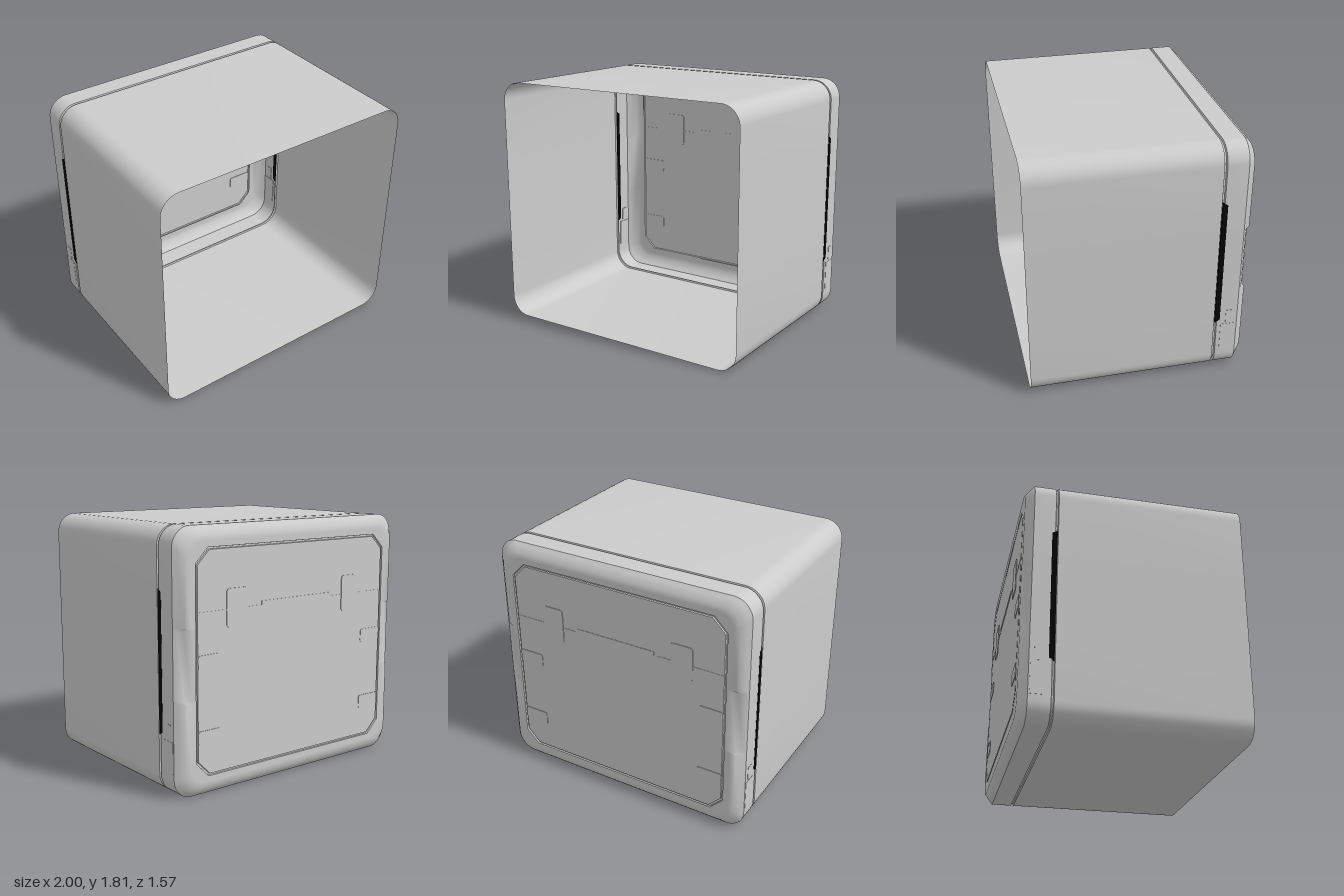
import * as THREE from 'three';
import { toCreasedNormals } from 'three/addons/utils/BufferGeometryUtils.js';

const grey = new THREE.MeshStandardMaterial({ color: 0xcccccc, side: THREE.DoubleSide });
const black = new THREE.MeshStandardMaterial({ color: 0x050505, side: THREE.DoubleSide });

const HALF_W = 1, HALF_H = 0.905, MID_Y = 0.905, BACK = -0.78;
const SIDE_Y = [0.66, 0.68, 1.14, 1.16]; // where the side finger recesses start and stop

// One cross-section: a rounded rectangle, or one with cut corners, at depth z.
function ring({ inset, z, cut = 0, dent = 0 }) {
  const w = HALF_W - inset, h = HALF_H - inset;
  const r = cut || 0.14 - inset * 0.25;
  const points = [];
  const side = (x, ys) => ys.forEach((y, i) =>
    points.push([x, y, z + (i === 1 || i === 2 ? dent : 0)]));
  const corner = (sx, sy, start) => {
    for (let i = 0; i <= 10; i++) {
      const t = i / 10, a = start + t * Math.PI / 2;
      let c = Math.cos(a), s = Math.sin(a);
      if (cut) {
        c = Math.cos(start) * (1 - t) + Math.cos(start + Math.PI / 2) * t;
        s = Math.sin(start) * (1 - t) + Math.sin(start + Math.PI / 2) * t;
      }
      points.push([sx * (w - r) + r * c, MID_Y + sy * (h - r) + r * s, z]);
    }
  };
  side(w, SIDE_Y);
  corner(1, 1, 0);
  corner(-1, 1, Math.PI / 2);
  side(-w, [...SIDE_Y].reverse());
  corner(-1, -1, Math.PI);
  corner(1, -1, Math.PI * 1.5);
  return points;
}

// Skin joining successive cross-sections
function loft(sections) {
  const rings = sections.map(ring), n = rings[0].length, index = [];
  for (let i = 0; i < rings.length - 1; i++) {
    for (let j = 0; j < n; j++) {
      const a = i * n + j, b = i * n + (j + 1) % n;
      index.push(a, a + n, b, b, a + n, b + n);
    }
  }
  const geometry = new THREE.BufferGeometry();
  geometry.setAttribute('position', new THREE.Float32BufferAttribute(rings.flat(2), 3));
  geometry.setIndex(index);
  return toCreasedNormals(geometry, 0.9);
}

// Flat rounded plate lying on the back panel
function plateGeometry(x0, x1, y0, y1, r, proud) {
  const s = new THREE.Shape();
  s.moveTo(x0 + r, y0).lineTo(x1 - r, y0).quadraticCurveTo(x1, y0, x1, y0 + r);
  s.lineTo(x1, y1 - r).quadraticCurveTo(x1, y1, x1 - r, y1);
  s.lineTo(x0 + r, y1).quadraticCurveTo(x0, y1, x0, y1 - r);
  s.lineTo(x0, y0 + r).quadraticCurveTo(x0, y0, x0 + r, y0);
  return new THREE.ExtrudeGeometry(s, { depth: proud * 2, bevelEnabled: false, curveSegments: 4 })
    .translate(0, 0, BACK - proud);
}

export function createModel() {
  const model = new THREE.Group();
  const add = (name, geometry, material = grey) => {
    const mesh = new THREE.Mesh(geometry, material);
    mesh.name = name;
    model.add(mesh);
    return mesh;
  };
  const box = (name, x0, x1, y0, y1, z0, z1) => add(name,
    new THREE.BoxGeometry(x1 - x0, y1 - y0, z1 - z0)
      .translate((x0 + x1) / 2, (y0 + y1) / 2, (z0 + z1) / 2));

  // Open-fronted sleeve, seam groove and rear rim
  add('sleeve', loft([{ inset: 0, z: 0.78 }, { inset: 0, z: -0.55 }]));
  add('seamGroove', loft([
    { inset: 0, z: -0.55 }, { inset: 0.012, z: -0.555 },
    { inset: 0.012, z: -0.565 }, { inset: 0, z: -0.57 },
  ]));
  add('rearRim', loft([{ inset: 0, z: -0.57 }, { inset: 0, z: -0.72 }]));

  // Bevelled rear frame with a finger recess at each side
  add('rearFrame', loft([
    { inset: 0, z: -0.72 }, { inset: 0.02, z: -0.74 },
    { inset: 0.06, z: BACK, dent: 0.02 }, { inset: 0.1, z: BACK },
    { inset: 0.14, z: BACK, cut: 0.1 },
  ]));

  // Narrow channel around the back panel
  add('panelChannel', loft([
    { inset: 0.14, z: BACK, cut: 0.1 }, { inset: 0.142, z: BACK + 0.012, cut: 0.1 },
    { inset: 0.153, z: BACK + 0.012, cut: 0.097 }, { inset: 0.155, z: BACK, cut: 0.096 },
  ]));

  // Cut-corner back panel
  const outline = ring({ inset: 0.155, z: 0, cut: 0.096 }).map(([x, y]) => new THREE.Vector2(x, y));
  add('backPanel', new THREE.ShapeGeometry(new THREE.Shape(outline)).rotateY(Math.PI)
    .translate(0, 0, BACK));

  // Raised centre bar on the panel
  box('centreBar', -0.31, 0.31, 1.25, 1.28, BACK - 0.003, BACK + 0.001);

  // Trapezoid outline of the dark side strips, drawn as (-z, y)
  const strip = new THREE.Shape([[0.555, 0.42], [0.592, 0.44], [0.592, 1.38], [0.555, 1.4]]
    .map(([z, y]) => new THREE.Vector2(z, y)));

  for (const s of [1, -1]) {
    const span = (a, b) => [Math.min(s * a, s * b), Math.max(s * a, s * b)];

    // Panel seam, hinge plate and edge tabs
    box('panelSeam', ...span(0.33, 0.845), 1.246, 1.254, BACK - 0.002, BACK + 0.002);
    add('hingePlate', plateGeometry(...span(0.44, 0.61), 1.13, 1.39, 0.025, 0.005));
    for (const y of [0.36, 0.87]) {
      add('edgeTab', plateGeometry(...span(0.65, 0.845), y, y + 0.1, 0.02, 0.004));
    }

    // Dark strip next to the seam
    add('sideStrip', new THREE.ExtrudeGeometry(strip, { depth: 0.016, bevelEnabled: false })
      .rotateY(Math.PI / 2).translate(s * 0.993 - 0.008, 0, 0), black);

    // Small cover plates low on the rim
    box('lowerCover', ...span(0.995, 1.002), 0.18, 0.4, -0.71, -0.6);
    box('upperCover', ...span(0.995, 1.002), 0.415, 0.515, -0.685, -0.635);
  }
  return model;
}
